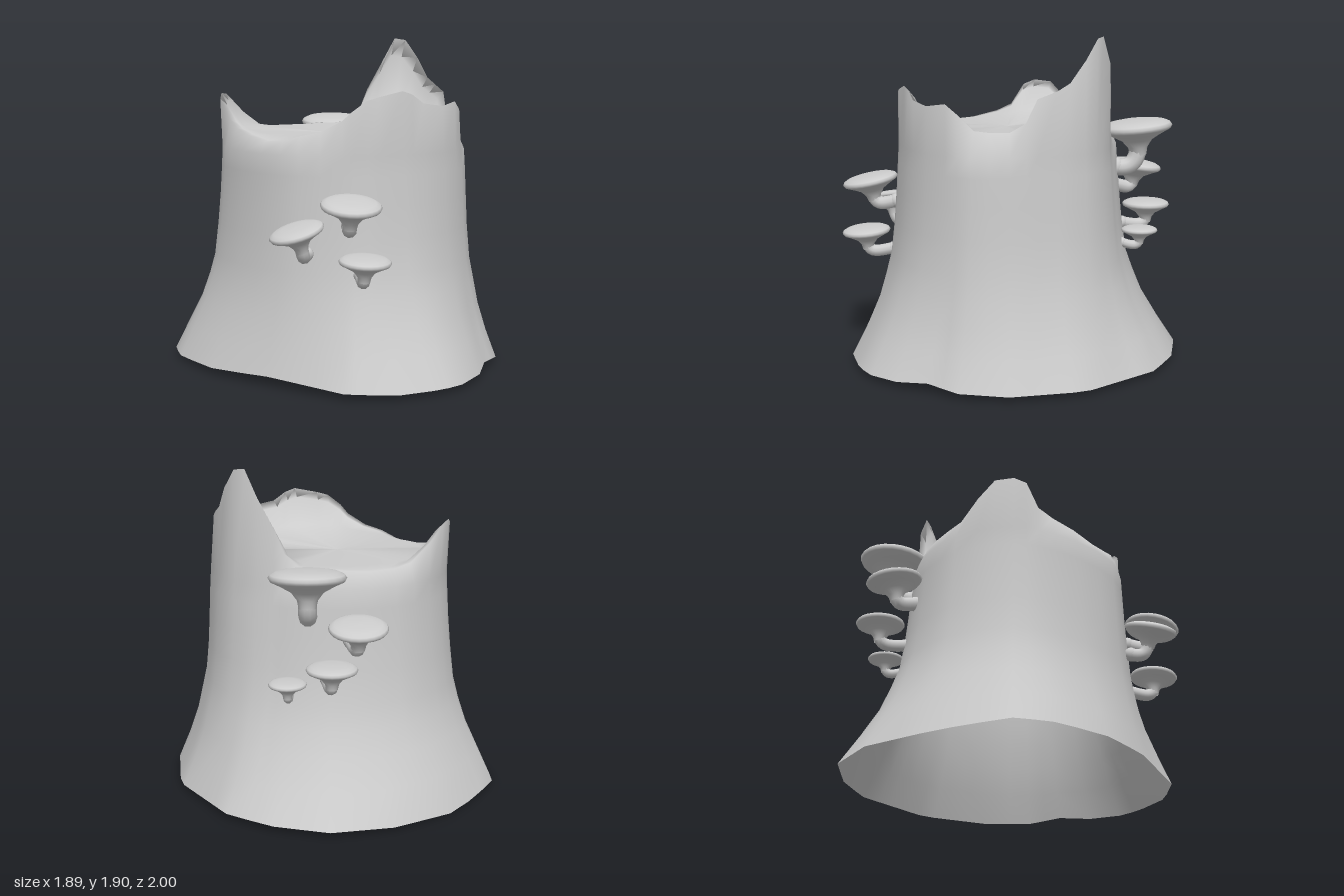
import * as THREE from 'three';

const grey = new THREE.MeshStandardMaterial({ color: 0xcccccc, side: THREE.DoubleSide });
grey.name = 'plainGrey';

// Broken rim, going round from the left side past the front: x, z, height
const RIM = [
  [0.705, 0.06, 1.40], [0.71, 0.17, 1.40], [0.69, 0.27, 1.41], [0.65, 0.34, 1.50], [0.60, 0.40, 1.55],
  [0.50, 0.50, 1.53], [0.37, 0.57, 1.55], [0.30, 0.595, 1.60], [0.24, 0.62, 1.62], [0.10, 0.65, 1.59],
  [0.03, 0.66, 1.57], [-0.05, 0.65, 1.51], [-0.10, 0.635, 1.46], [-0.22, 0.60, 1.40], [-0.33, 0.54, 1.375],
  [-0.42, 0.47, 1.34], [-0.51, 0.35, 1.33], [-0.59, 0.20, 1.36], [-0.64, 0.05, 1.39], [-0.66, -0.05, 1.43],
  [-0.67, -0.13, 1.55], [-0.655, -0.20, 1.58], [-0.615, -0.30, 1.57], [-0.55, -0.385, 1.48], [-0.46, -0.48, 1.38],
  [-0.36, -0.54, 1.36], [-0.22, -0.59, 1.355], [-0.10, -0.61, 1.36], [0.005, -0.61, 1.37], [0.11, -0.605, 1.37],
  [0.20, -0.58, 1.38], [0.27, -0.56, 1.45], [0.31, -0.54, 1.58], [0.40, -0.52, 1.75], [0.47, -0.47, 1.90],
  [0.53, -0.43, 1.89], [0.59, -0.36, 1.78], [0.63, -0.27, 1.66], [0.66, -0.20, 1.62], [0.68, -0.09, 1.58],
  [0.70, -0.03, 1.45],
];

// Flared foot outline: x, z, height of the hem
const BASE = [
  [0.95, 0.08, 0.03], [0.89, 0.35, 0.035], [0.75, 0.53, 0.055], [0.65, 0.75, 0.03], [0.48, 0.86, 0.03],
  [0.28, 0.93, 0.03], [0.12, 0.95, 0.03], [-0.14, 0.885, 0.035], [-0.50, 0.57, 0.06], [-0.77, 0.29, 0.04],
  [-0.93, -0.05, 0.03], [-0.95, -0.28, 0.025], [-0.81, -0.51, 0.01], [-0.66, -0.69, 0], [-0.34, -0.91, 0.02],
  [0.01, -1.0, 0.03], [0.32, -0.92, 0.03], [0.58, -0.77, 0.03], [0.89, -0.34, 0.03],
];

// Height, share of the foot flare left there, and sideways lean of the trunk
const FLARE = [[0, 1, 0], [0.2, 0.71, 0], [0.36, 0.46, 0.005], [0.5, 0.31, 0.01], [0.63, 0.19, 0.01],
  [0.82, 0.11, 0.01], [1.0, 0.06, 0.012], [1.16, 0.025, 0.012], [1.27, 0, 0.01]];

// Radius and hem height of the foot outline in the direction (dx, dz)
function footAt(dx, dz) {
  for (let i = 0; i < BASE.length; i++) {
    const [ax, az, ay] = BASE[i], [bx, bz, by] = BASE[(i + 1) % BASE.length];
    const ex = bx - ax, ez = bz - az, det = dx * ez - dz * ex;
    const r = (ax * ez - az * ex) / det, s = (ax * dz - az * dx) / det;
    if (r > 0 && s >= -1e-6 && s <= 1 + 1e-6) return [r, ay + (by - ay) * s];
  }
  return [0.95, 0.03];
}

// Skin over closed rings of points
function loft(rings) {
  const n = rings[0].length, index = [];
  for (let i = 0; i < rings.length - 1; i++) {
    for (let j = 0; j < n; j++) {
      const k = (j + 1) % n;
      const a = i * n + j, b = i * n + k, c = a + n, d = b + n;
      index.push(a, c, b, b, c, d);
    }
  }
  const geometry = new THREE.BufferGeometry();
  geometry.setAttribute('position', new THREE.Float32BufferAttribute(rings.flat(2), 3));
  geometry.setIndex(index);
  geometry.computeVertexNormals();
  return geometry;
}

function mesh(geometry, name) {
  const m = new THREE.Mesh(geometry, grey);
  m.name = name;
  return m;
}

function createStump() {
  // Flared bark, open below, with an uneven hem
  const bark = FLARE.map(([y, share, lean]) => RIM.map(([x, z]) => {
    const r = Math.hypot(x, z), [foot, hem] = footAt(x / r, z / r);
    const k = 1 + share * (foot / r - 1);
    return [x * k + lean, y === 0 ? hem : y, z * k];
  }));
  // Upper rings: low stretches of the rim round over inwards, splinters stand upright
  const upper = (scale, keep) => RIM.map(([x, z, y]) => {
    const k = scale * (0.93 + 0.07 * THREE.MathUtils.smoothstep(y, 1.4, 1.52));
    return [x * k, 1.37 + (y - 1.37) * keep, z * k];
  });
  const middle = RIM.map(() => [-0.03, 1.355, 0.02]);
  return mesh(loft([...bark, upper(1, 1), upper(0.94, 0.8), upper(0.85, 0.14), middle]), 'stump');
}

// Cap profile for a radius of one: rounded top, thin edge, hollow underside
const CAP = [[0.22, -0.8], [0.27, -0.58], [0.42, -0.38], [0.7, -0.22], [0.95, -0.1], [1, -0.01],
  [0.95, 0.07], [0.8, 0.14], [0.5, 0.19], [0, 0.2]];

// Shelf mushroom: cap centre, radius, cap tilt and the foot of the stem
function createMushroom(name, centre, radius, tilt, foot) {
  const mushroom = new THREE.Group();
  mushroom.name = name;
  const up = new THREE.Vector3(tilt[0], 1, tilt[1]).normalize();
  const middle = new THREE.Vector3(...centre), end = new THREE.Vector3(...foot);

  const cap = mesh(new THREE.LatheGeometry(CAP.map(([x, y]) => new THREE.Vector2(x * radius, y * radius)), 24), 'cap');
  cap.position.copy(middle);
  cap.quaternion.setFromUnitVectors(new THREE.Vector3(0, 1, 0), up);

  // Stem drops from the cap, then hooks into the trunk
  const top = middle.clone().addScaledVector(up, -0.5 * radius);
  const drop = middle.clone().addScaledVector(up, -radius);
  const hook = end.clone().lerp(top, 0.6).setY(end.y - 0.02);
  const thick = 0.23 * radius + 0.002;
  const stem = mesh(new THREE.TubeGeometry(new THREE.CubicBezierCurve3(top, drop, hook, end), 12, thick, 10), 'stem');
  const stemFoot = mesh(new THREE.SphereGeometry(thick * 1.1, 10, 8), 'stemFoot');
  stemFoot.position.copy(end);
  mushroom.add(cap, stem, stemFoot);
  return mushroom;
}

export function createModel() {
  const model = new THREE.Group();
  model.name = 'treeStump';
  model.add(
    createStump(),
    createMushroom('frontTopMushroom', [-0.09, 1.035, 0.835], 0.165, [0.02, 0.2], [-0.07, 0.91, 0.68]),
    createMushroom('frontSideMushroom', [-0.36, 0.885, 0.71], 0.152, [-0.3, 0.1], [-0.29, 0.745, 0.61]),
    createMushroom('frontLowMushroom', [-0.02, 0.74, 0.86], 0.142, [0.03, 0.08], [-0.01, 0.635, 0.70]),
    createMushroom('backTopMushroom', [0.13, 1.365, -0.72], 0.21, [0, 0.1], [0.13, 1.13, -0.60]),
    createMushroom('backMiddleMushroom', [-0.14, 1.10, -0.765], 0.162, [0, -0.15], [-0.1, 0.99, -0.63]),
    createMushroom('backLowMushroom', [0.0, 0.885, -0.81], 0.14, [0, 0], [0.03, 0.78, -0.66]),
    createMushroom('backSmallMushroom', [0.24, 0.775, -0.73], 0.105, [0, 0], [0.23, 0.70, -0.63]),
  );
  return model;
}
